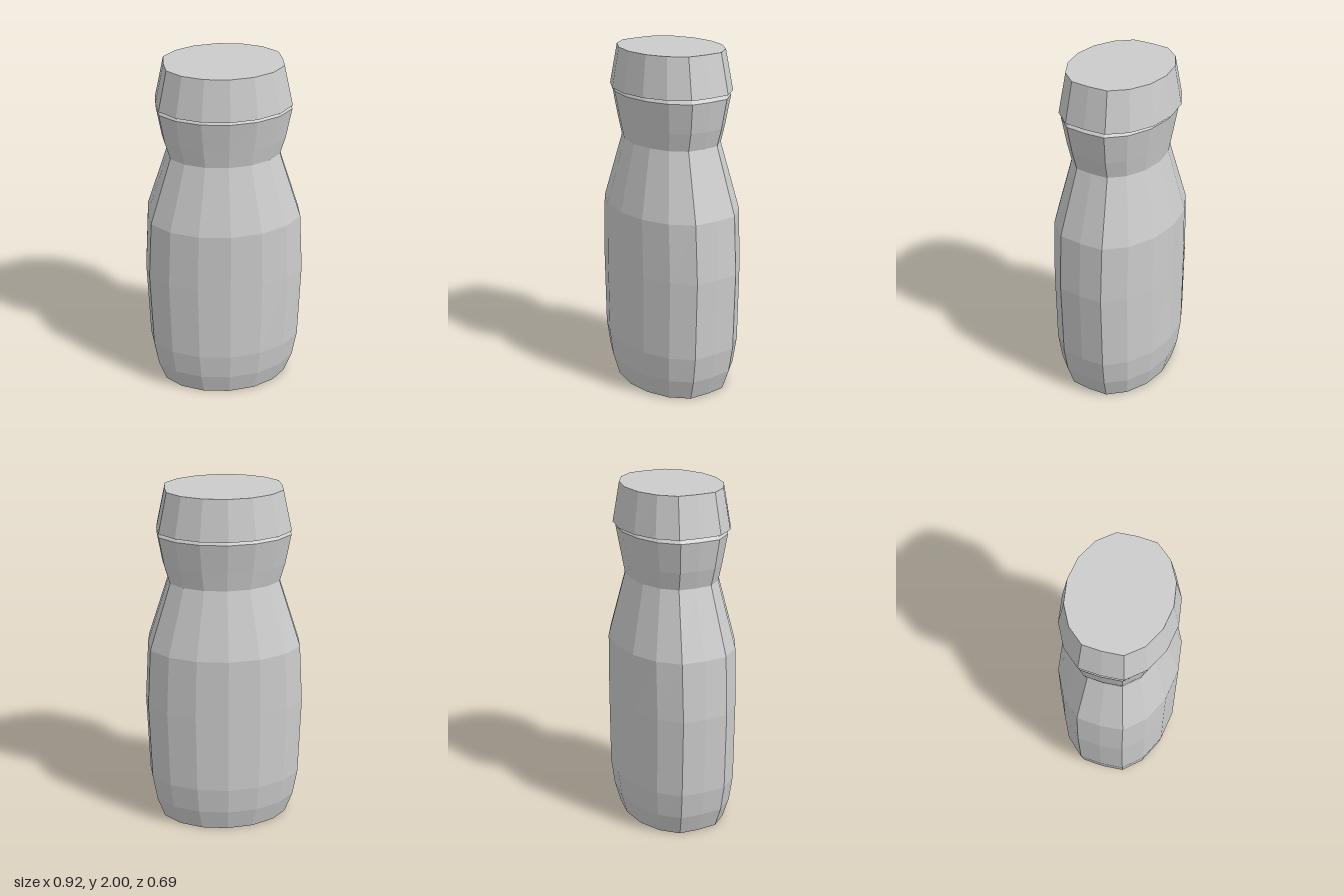
import * as THREE from 'three';

// One quarter of the oval outline as [x, z] factors, mirrored to 16 corners.
const quarter = [[1, 0], [0.978, 0.39], [0.75, 0.71], [0.405, 0.925]];
const outline = [];
for (const [sx, sz, swap] of [[1, 1, false], [-1, 1, true], [-1, -1, false], [1, -1, true]]) {
  const pts = swap ? [[0, 1], ...quarter.slice(1).reverse()] : quarter;
  for (const [x, z] of pts) outline.push([x * sx, z * sz]);
}

// Skins a closed stack of rings [y, half width, half depth], with flat end caps.
function stackGeometry(rings) {
  const n = outline.length;
  const position = [];
  const index = [];
  for (const [y, rx, rz] of rings) {
    for (const [x, z] of outline) position.push(x * rx, y, z * rz);
  }
  for (let r = 0; r < rings.length - 1; r++) {
    for (let i = 0; i < n; i++) {
      const a = r * n + i;
      const b = r * n + ((i + 1) % n);
      index.push(a, a + n, b, b, a + n, b + n);
    }
  }
  const top = (rings.length - 1) * n;
  for (let i = 1; i < n - 1; i++) {
    index.push(0, i, i + 1);
    index.push(top, top + i + 1, top + i);
  }
  const geometry = new THREE.BufferGeometry();
  geometry.setAttribute('position', new THREE.Float32BufferAttribute(position, 3));
  geometry.setIndex(index);
  const flat = geometry.toNonIndexed();
  flat.computeVertexNormals();
  return flat;
}

export function createModel() {
  const group = new THREE.Group();
  group.name = 'bottle';
  const material = new THREE.MeshStandardMaterial({ color: 0xcccccc, flatShading: true });
  const add = (name, rings) => {
    const mesh = new THREE.Mesh(stackGeometry(rings), material);
    mesh.name = name;
    group.add(mesh);
  };

  // Body: rounded base, gentle belly, sloped shoulder, narrow waist and flared neck
  add('body', [
    [0, 0.373, 0.295],
    [0.125, 0.417, 0.328],
    [0.28, 0.443, 0.346],
    [0.745, 0.458, 0.346],
    [1.09, 0.438, 0.346],
    [1.475, 0.315, 0.251],
    [1.58, 0.345, 0.268],
    [1.75, 0.375, 0.298],
    [1.772, 0.355, 0.285],
  ]);

  // Lid: tapered, slightly overhanging the neck
  add('lid', [
    [1.772, 0.376, 0.316],
    [2, 0.327, 0.279],
  ]);
  return group;
}
